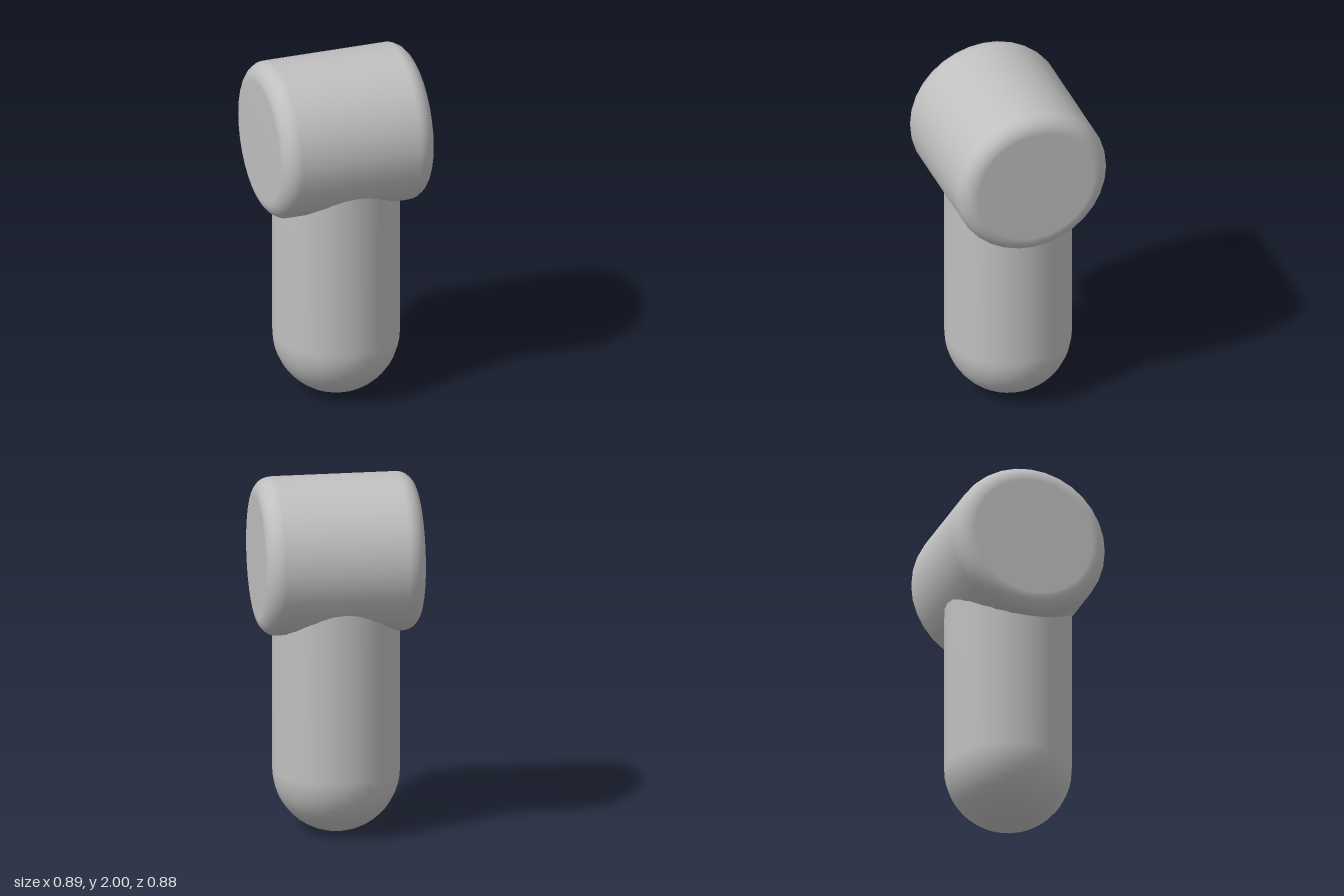
import * as THREE from 'three';

const SIDES = 32;

// Quarter-circle profile points around (cx, cy), from angle a0 to a1
function arc(cx, cy, r, a0, a1, steps) {
  return Array.from({ length: steps + 1 }, (_, i) => {
    const a = a0 + ((a1 - a0) * i) / steps;
    return new THREE.Vector2(Math.max(0, cx + r * Math.cos(a)), cy + r * Math.sin(a));
  });
}

export function createModel() {
  const model = new THREE.Group();
  model.name = 'roundedMallet';
  const grey = new THREE.MeshStandardMaterial({ color: 0xc0c0c0 });
  grey.name = 'lightGrey';
  const quarter = Math.PI / 2;

  // Upright shaft with a hemispherical bottom; its top is buried in the head
  const shaftRadius = 0.35, shaftTop = 1.4;
  const shaftProfile = [
    ...arc(0, shaftRadius, shaftRadius, -quarter, 0, 12),
    new THREE.Vector2(shaftRadius, shaftTop),
  ];
  const shaft = new THREE.Mesh(new THREE.LatheGeometry(shaftProfile, SIDES), grey);
  shaft.name = 'shaft';
  model.add(shaft);

  // Horizontal drum with rounded rims and flat ends
  const radius = 0.438, half = 0.443, rim = 0.1;
  const headProfile = [
    new THREE.Vector2(0, -half),
    ...arc(radius - rim, rim - half, rim, -quarter, 0, 8),
    ...arc(radius - rim, half - rim, rim, 0, quarter, 8),
    new THREE.Vector2(0, half),
  ];
  const head = new THREE.Mesh(new THREE.LatheGeometry(headProfile, SIDES), grey);
  head.name = 'head';
  head.rotation.z = quarter;
  head.position.y = 2 - radius;
  model.add(head);

  return model;
}
